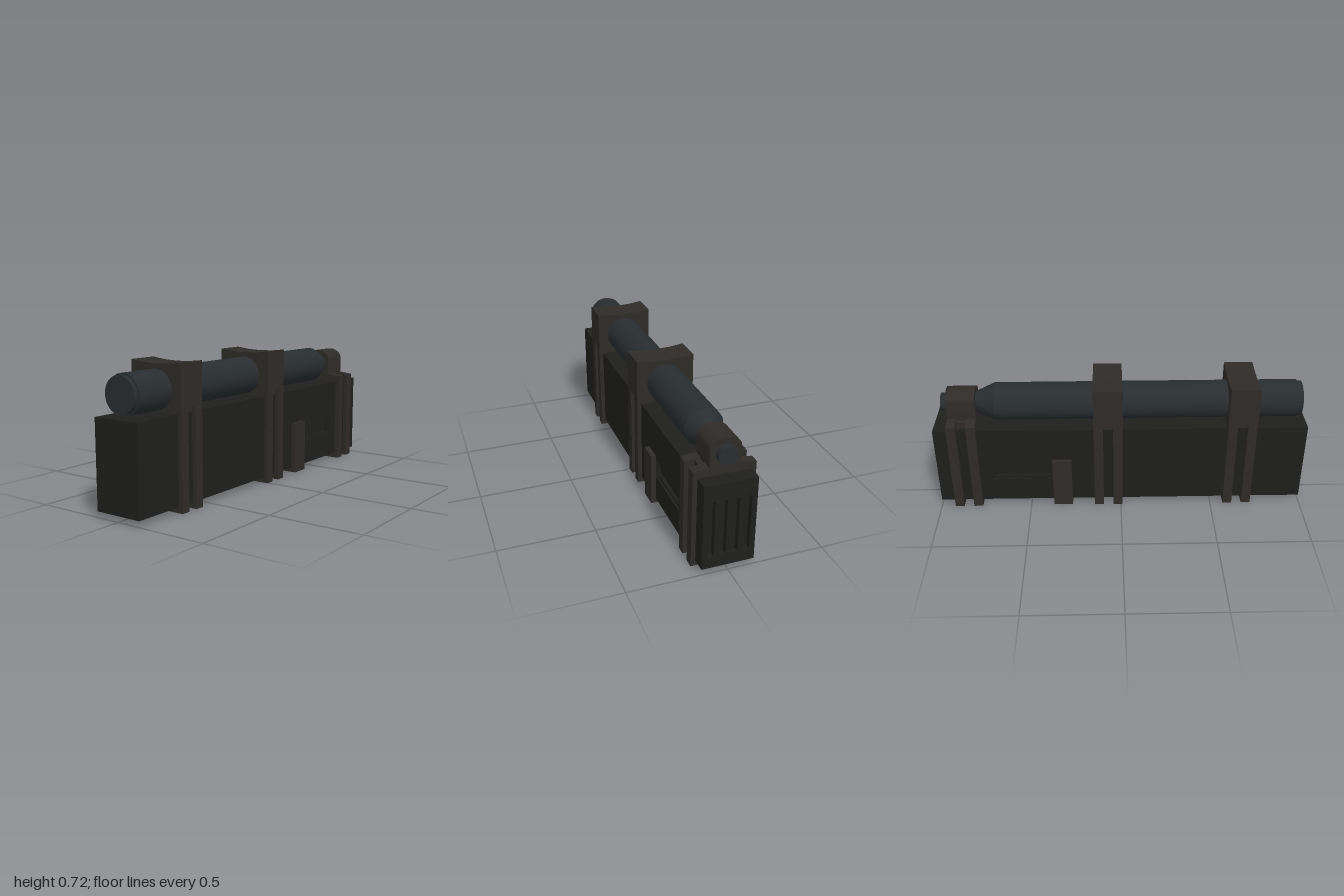
import * as THREE from 'three';
import { toCreasedNormals } from 'three/addons/utils/BufferGeometryUtils.js';

const BODY = new THREE.MeshStandardMaterial({ color: 0x1e1e1c });
const STRAP = new THREE.MeshStandardMaterial({ color: 0x2e2b28 });
const TUBE = new THREE.MeshStandardMaterial({ color: 0x282d30 });

const BODY_Z = 0.133, BOTTOM = 0.03, TOP = 0.48; // body section
const STRAP_Z = 0.156, AXIS_Y = 0.588;

const outline = (pts) => new THREE.Shape(pts.map(([a, b]) => new THREE.Vector2(a, b)));
const rect = (x0, x1, y0, y1) => outline([[x0, y0], [x1, y0], [x1, y1], [x0, y1]]);

function add(group, name, geometry, material) {
  const mesh = new THREE.Mesh(geometry, material);
  mesh.name = name;
  group.add(mesh);
  return mesh;
}

function box(x0, x1, y0, y1, z0, z1) {
  return new THREE.BoxGeometry(x1 - x0, y1 - y0, z1 - z0)
    .translate((x0 + x1) / 2, (y0 + y1) / 2, (z0 + z1) / 2);
}

// Cross-section drawn in z and y, extruded along x
function section(shape, x0, x1) {
  const g = new THREE.ExtrudeGeometry(shape, { depth: x1 - x0, bevelEnabled: false, curveSegments: 16 });
  return toCreasedNormals(g.rotateY(Math.PI / 2).translate(x0, 0, 0), 0.5);
}

function makeBody() {
  const g = new THREE.Group();
  g.name = 'body';
  const depth = 0.03, step = 0.012, endX = 0.97;
  add(g, 'core', box(-1, endX, BOTTOM, TOP, -BODY_Z + depth, BODY_Z - depth), BODY);

  // Side panels with a stepped window recess
  for (const side of [1, -1]) {
    [[0, step, 0], [step, depth - step, 0.013]].forEach(([inset, thick, shrink]) => {
      const panel = rect(-1, endX, BOTTOM, TOP);
      panel.holes.push(rect(0.37, 0.70 - shrink, 0.165 + shrink, 0.272 - shrink));
      const geo = new THREE.ExtrudeGeometry(panel, { depth: thick, bevelEnabled: false });
      const outer = BODY_Z - inset;
      geo.translate(0, 0, side > 0 ? outer - thick : -outer);
      add(g, 'sidePanel', geo, BODY);
    });
  }

  // End panel with four vent slots
  const end = rect(-BODY_Z, BODY_Z, BOTTOM, TOP);
  for (const z of [-0.09, -0.03, 0.03, 0.09]) end.holes.push(rect(z - 0.016, z + 0.016, 0.09, 0.39));
  add(g, 'ventPanel', section(end, endX, 1), BODY);
  return g;
}

function makeTube() {
  // Pairs of radius and x along the tube
  const profile = [[0, -0.97], [0.092, -0.97], [0.092, -0.945], [0.1, -0.945], [0.1, 0.67],
    [0.055, 0.77], [0.047, 0.79], [0.047, 0.957], [0, 0.957]];
  const geo = new THREE.LatheGeometry(profile.map(([r, x]) => new THREE.Vector2(r, x)), 40);
  geo.rotateZ(-Math.PI / 2).translate(0, AXIS_Y, 0);
  const mesh = new THREE.Mesh(toCreasedNormals(geo, 0.35), TUBE);
  mesh.name = 'tube';
  return mesh;
}

// U-shaped band around the body, open at the top
function strapShape(top) {
  return outline([[-STRAP_Z, 0], [STRAP_Z, 0], [STRAP_Z, top], [BODY_Z, top], [BODY_Z, BOTTOM],
    [-BODY_Z, BOTTOM], [-BODY_Z, top], [-STRAP_Z, top]]);
}

function addStraps(g, x) {
  for (const dx of [-0.052, 0.052]) {
    add(g, 'strap', section(strapShape(0.515), x + dx - 0.025, x + dx + 0.025), STRAP);
  }
}

function makeClamp(x) {
  const g = new THREE.Group();
  g.name = 'tubeClamp';
  addStraps(g, x);
  // Block with a hollowed top, narrowed between the straps
  const block = outline([[-BODY_Z, TOP], [BODY_Z, TOP], [BODY_Z, 0.515], [STRAP_Z, 0.515], [STRAP_Z, 0.724],
    [0.08, 0.715], [0, 0.712], [-0.08, 0.715], [-STRAP_Z, 0.724], [-STRAP_Z, 0.515], [-BODY_Z, 0.515]]);
  block.holes.push(new THREE.Path().absarc(0, AXIS_Y, 0.099, 0, Math.PI * 2, true));
  add(g, 'clampBlock', section(block, x - 0.078, x + 0.078), STRAP);
  return g;
}

function makeNoseHolder(x) {
  const g = new THREE.Group();
  g.name = 'noseHolder';
  addStraps(g, x);
  // Sloped shoulders above the straps
  const shoulder = outline([[-BODY_Z, TOP], [BODY_Z, TOP], [BODY_Z, 0.515], [STRAP_Z, 0.515],
    [0.078, 0.525], [-0.078, 0.525], [-STRAP_Z, 0.515], [-BODY_Z, 0.515]]);
  for (const dx of [-0.052, 0.052]) {
    add(g, 'shoulder', section(shoulder, x + dx - 0.025, x + dx + 0.025), STRAP);
  }
  add(g, 'web', box(x - 0.027, x + 0.027, TOP, 0.515, -0.105, 0.105), STRAP);
  // Arched head that grips the nose of the tube
  const arch = new THREE.Shape();
  arch.moveTo(-0.078, TOP);
  arch.lineTo(0.078, TOP);
  arch.lineTo(0.078, AXIS_Y + 0.025);
  arch.absellipse(0, AXIS_Y + 0.025, 0.078, 0.055, 0, Math.PI, false, 0);
  arch.lineTo(-0.078, TOP);
  arch.holes.push(new THREE.Path().absarc(0, AXIS_Y, 0.047, 0, Math.PI * 2, true));
  add(g, 'arch', section(arch, x - 0.077, x + 0.077), STRAP);
  return g;
}

// Wide clip under the body, beside the windows
function makeClip() {
  const z = 0.159;
  const shape = outline([[-z, 0.006], [z, 0.006], [z, 0.292], [BODY_Z, 0.292], [BODY_Z, BOTTOM],
    [-BODY_Z, BOTTOM], [-BODY_Z, 0.292], [-z, 0.292]]);
  const mesh = new THREE.Mesh(section(shape, 0.268, 0.372), STRAP);
  mesh.name = 'clip';
  return mesh;
}

export function createModel() {
  const model = new THREE.Group();
  model.name = 'tubeUnit';
  model.add(makeBody(), makeTube(), makeClamp(-0.648), makeClamp(0.068), makeNoseHolder(0.847), makeClip());
  return model;
}
